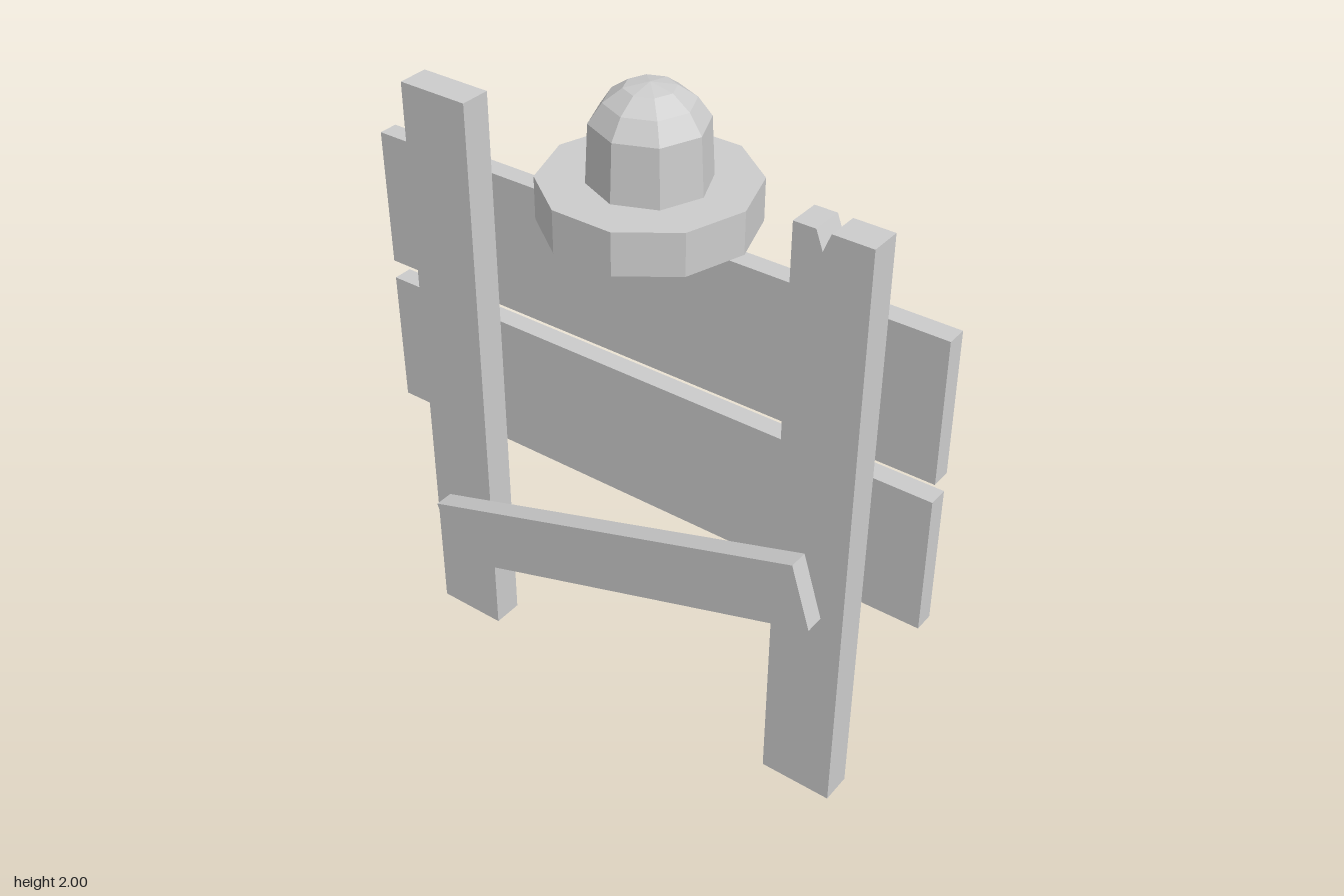
import * as THREE from 'three';

const material = new THREE.MeshStandardMaterial({ color: 0xcccccc, flatShading: true });

function add(group, name, geometry) {
  const mesh = new THREE.Mesh(geometry, material);
  mesh.name = name;
  group.add(mesh);
  return mesh;
}

// Flat timber: an outline in x/y, extruded from zBack to zFront
function board(group, name, outline, zBack, zFront) {
  const shape = new THREE.Shape(outline.map(([x, y]) => new THREE.Vector2(x, y)));
  const geometry = new THREE.ExtrudeGeometry(shape, { depth: zFront - zBack, bevelEnabled: false });
  geometry.translate(0, 0, zBack);
  return add(group, name, geometry);
}

export function createModel() {
  const group = new THREE.Group();
  group.name = 'barricade';

  // Upright posts; the left one has a split in its top
  board(group, 'rightPost', [[-0.732, 0], [-0.508, 0], [-0.508, 1.842], [-0.732, 1.842]], 0.045, 0.14);
  board(group, 'leftPost', [
    [0.523, 0], [0.747, 0], [0.747, 1.842], [0.63, 1.842],
    [0.609, 1.787], [0.588, 1.842], [0.523, 1.842],
  ], 0.045, 0.14);

  // Slightly tilted planks behind the posts
  board(group, 'upperPlank', [[-0.925, 1.167], [0.92, 1.18], [0.916, 1.606], [-0.928, 1.593]], -0.015, 0.045);
  board(group, 'lowerPlank', [[-0.922, 0.681], [0.922, 0.696], [0.919, 1.122], [-0.925, 1.107]], -0.015, 0.045);

  // Diagonal brace across the front
  board(group, 'brace', [[-0.613, 0.25], [0.679, 0.667], [0.616, 0.865], [-0.678, 0.447]], 0.14, 0.2);

  // Ten-sided lamp base
  const base = new THREE.CylinderGeometry(0.3, 0.3, 0.126, 10);
  base.rotateY(Math.PI / 10 * 5);
  add(group, 'lampBase', base).position.y = 1.665;

  // Eight-sided tapered lamp with a domed top
  const profile = [[0.169, 1.725], [0.16, 1.895], [0.122, 1.95], [0.07, 1.987], [0, 2]];
  const lamp = new THREE.LatheGeometry(profile.map(([r, y]) => new THREE.Vector2(r, y)), 8);
  add(group, 'lampDome', lamp).position.set(0.006, 0, 0.006);

  return group;
}
